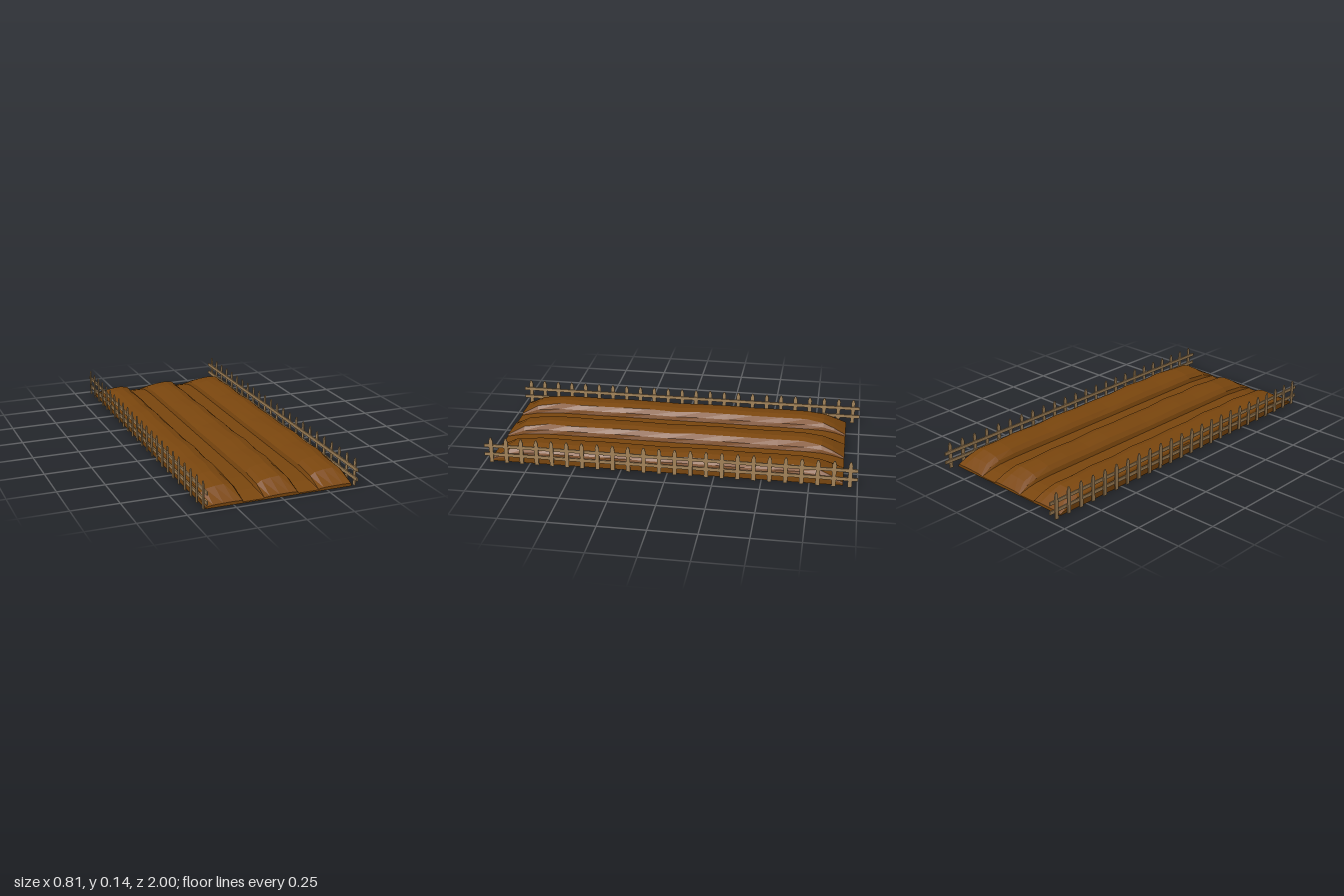
import * as THREE from 'three';

const soil = new THREE.MeshStandardMaterial({ color: 0x7a460e, flatShading: true });
soil.name = 'soil';
const wood = new THREE.MeshStandardMaterial({ color: 0xa4845a, flatShading: true });
wood.name = 'fenceWood';

// Stations along the bed: z, ridge crest height, furrow height, width of the steep right flank
const STATIONS = [
  [-0.925, 0.016, 0.007, 0.004], [-0.86, 0.052, 0.024, 0.012], [-0.8, 0.077, 0.033, 0.022],
  [-0.7, 0.089, 0.037, 0.04], [-0.56, 0.092, 0.037, 0.032], [-0.4, 0.089, 0.037, 0.037],
  [-0.25, 0.094, 0.037, 0.03], [-0.1, 0.092, 0.037, 0.036], [0.05, 0.088, 0.037, 0.026],
  [0.2, 0.091, 0.037, 0.034], [0.35, 0.095, 0.037, 0.024], [0.5, 0.09, 0.037, 0.03],
  [0.62, 0.093, 0.037, 0.024], [0.73, 0.091, 0.037, 0.038], [0.87, 0.073, 0.027, 0.022],
  [0.965, 0.017, 0.007, 0.004],
];
const RIDGES = [[-0.393, -0.2], [-0.096, 0.093], [0.195, 0.388]];

// Closed cross-section of the bed at one station, left to right over three ridges
function crossSection([z, crest, furrow, flank]) {
  const pts = [[-0.393, 0, z]];
  const rise = crest - furrow;
  for (const [l, r] of RIDGES) {
    const shoulder = r - flank;
    const x = (t) => l + (shoulder - l) * t;
    pts.push(
      [l, furrow, z], [l + 0.008, furrow + rise * 0.4, z],
      [x(0.2), furrow + rise * 0.76, z], [x(0.48), furrow + rise * 0.93, z],
      [x(0.76), crest, z], [shoulder, furrow + rise * 0.84, z],
      [r - flank * 0.2, furrow + rise * 0.42, z], [r, furrow, z]
    );
  }
  pts.push([0.388, 0, z]);
  return pts;
}

function soilGeometry() {
  const rings = STATIONS.map(crossSection);
  const n = rings[0].length;
  const pos = [];
  const tri = (a, b, c) => pos.push(...a, ...b, ...c);
  const quad = (a, b, c, d) => { tri(a, b, c); tri(a, c, d); };
  // Ridged surface, sides and underside
  for (let i = 0; i < rings.length - 1; i++) {
    for (let j = 0; j < n; j++) {
      const k = (j + 1) % n;
      quad(rings[i][j], rings[i + 1][j], rings[i + 1][k], rings[i][k]);
    }
  }
  // End faces
  const ground = ([x, , z]) => [x, 0, z];
  const back = rings[0], front = rings[rings.length - 1];
  for (let j = 0; j < n - 1; j++) {
    quad(front[j], ground(front[j]), ground(front[j + 1]), front[j + 1]);
    quad(back[j + 1], ground(back[j + 1]), ground(back[j]), back[j]);
  }
  const g = new THREE.BufferGeometry();
  g.setAttribute('position', new THREE.Float32BufferAttribute(pos, 3));
  g.computeVertexNormals();
  return g;
}

// Pointed fence board, extruded along x
function picketGeometry() {
  const w = 0.011;
  const s = new THREE.Shape();
  s.moveTo(-w, 0);
  s.lineTo(w, 0);
  s.lineTo(w, 0.125);
  s.lineTo(0.004, 0.145);
  s.lineTo(-0.004, 0.145);
  s.lineTo(-w, 0.125);
  s.closePath();
  const g = new THREE.ExtrudeGeometry(s, { depth: 0.005, bevelEnabled: false });
  g.translate(0, 0, -0.0025);
  g.rotateY(Math.PI / 2);
  return g;
}

function createFence(side) {
  const fence = new THREE.Group();
  fence.name = side > 0 ? 'leftFence' : 'rightFence';
  const picket = picketGeometry();
  const COUNT = 24;
  for (let i = 0; i < COUNT; i++) {
    const m = new THREE.Mesh(picket, wood);
    m.name = 'picket';
    m.position.set(side * 0.4045, 0, -0.96 + (1.92 * i) / (COUNT - 1));
    fence.add(m);
  }
  // Two rails on the inner face
  for (const y of [0.044, 0.094]) {
    const rail = new THREE.Mesh(new THREE.BoxGeometry(0.007, 0.018, 2), wood);
    rail.name = 'rail';
    rail.position.set(side * 0.3985, y, 0);
    fence.add(rail);
  }
  return fence;
}

export function createModel() {
  const model = new THREE.Group();
  model.name = 'fencedGardenBed';
  const bed = new THREE.Mesh(soilGeometry(), soil);
  bed.name = 'soilBed';
  model.add(bed, createFence(1), createFence(-1));
  return model;
}
